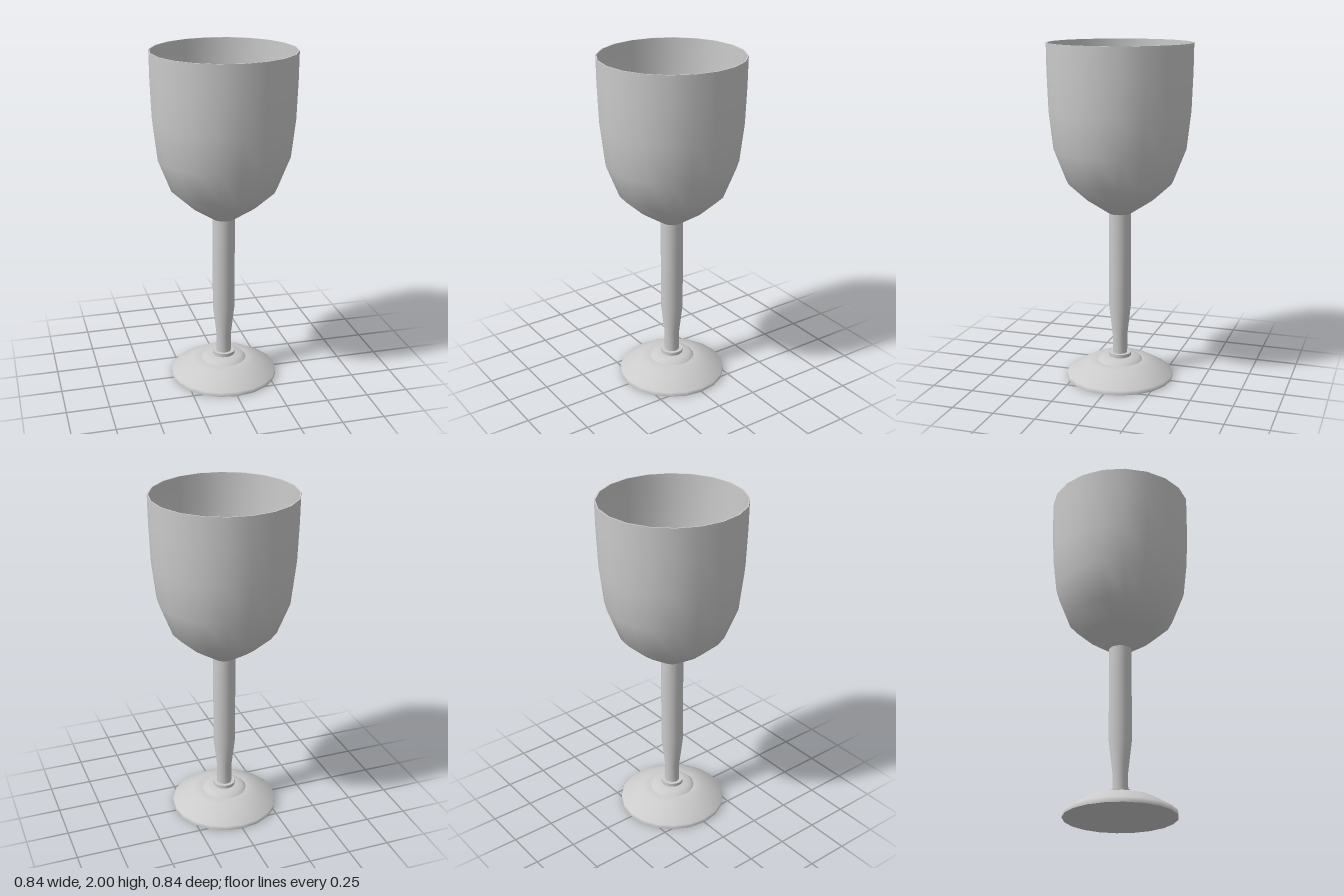
import * as THREE from 'three';

const material = new THREE.MeshStandardMaterial({ color: 0xcccccc });

// Revolve [radius, height] pairs; bottom-to-top profiles face outwards.
function turned(name, profile, sides) {
  const points = profile.map(([r, y]) => new THREE.Vector2(r, y));
  const mesh = new THREE.Mesh(new THREE.LatheGeometry(points, sides), material);
  mesh.name = name;
  return mesh;
}

export function createModel() {
  const goblet = new THREE.Group();
  goblet.name = 'goblet';

  // Thin-walled bowl: outer wall, narrow rim, inner wall
  const outer = [
    [0.063, 1.01], [0.2, 1.1], [0.31, 1.2], [0.385, 1.39],
    [0.41, 1.61], [0.418, 1.83], [0.42, 2],
  ];
  const inner = outer.map(([r, y], i) =>
    [i === 0 ? r : r - 0.007, i > 0 && i < 4 ? y + 0.006 : y]).reverse();
  const bowl = new THREE.Group();
  bowl.name = 'bowl';
  bowl.add(
    turned('bowlOutside', outer, 20),
    turned('bowlRim', [outer[outer.length - 1], inner[0]], 20),
    turned('bowlInside', inner, 20),
  );

  // Stem, narrowed towards the foot, with a flat cap inside the bowl
  const stem = new THREE.Group();
  stem.name = 'stem';
  stem.add(
    turned('stemShaft', [[0.044, 0.12], [0.044, 0.26], [0.066, 0.45], [0.066, 1.015]], 32),
    turned('stemCap', [[0.066, 1.015], [0, 1.015]], 32),
  );

  // Sloped foot with a stepped collar around the stem
  const foot = new THREE.Group();
  foot.name = 'foot';
  foot.add(
    turned('footUnderside', [[0, 0], [0.32, 0]], 20),
    turned('footSlope', [[0.32, 0], [0.32, 0.027], [0.195, 0.102], [0.135, 0.104]], 20),
    turned('lowerCollar', [[0.135, 0.104], [0.11, 0.127], [0.066, 0.129]], 20),
    turned('upperCollar', [[0.066, 0.127], [0.066, 0.15]], 20),
    turned('upperCollarTop', [[0.066, 0.15], [0.04, 0.15]], 20),
  );

  goblet.add(bowl, stem, foot);
  return goblet;
}
